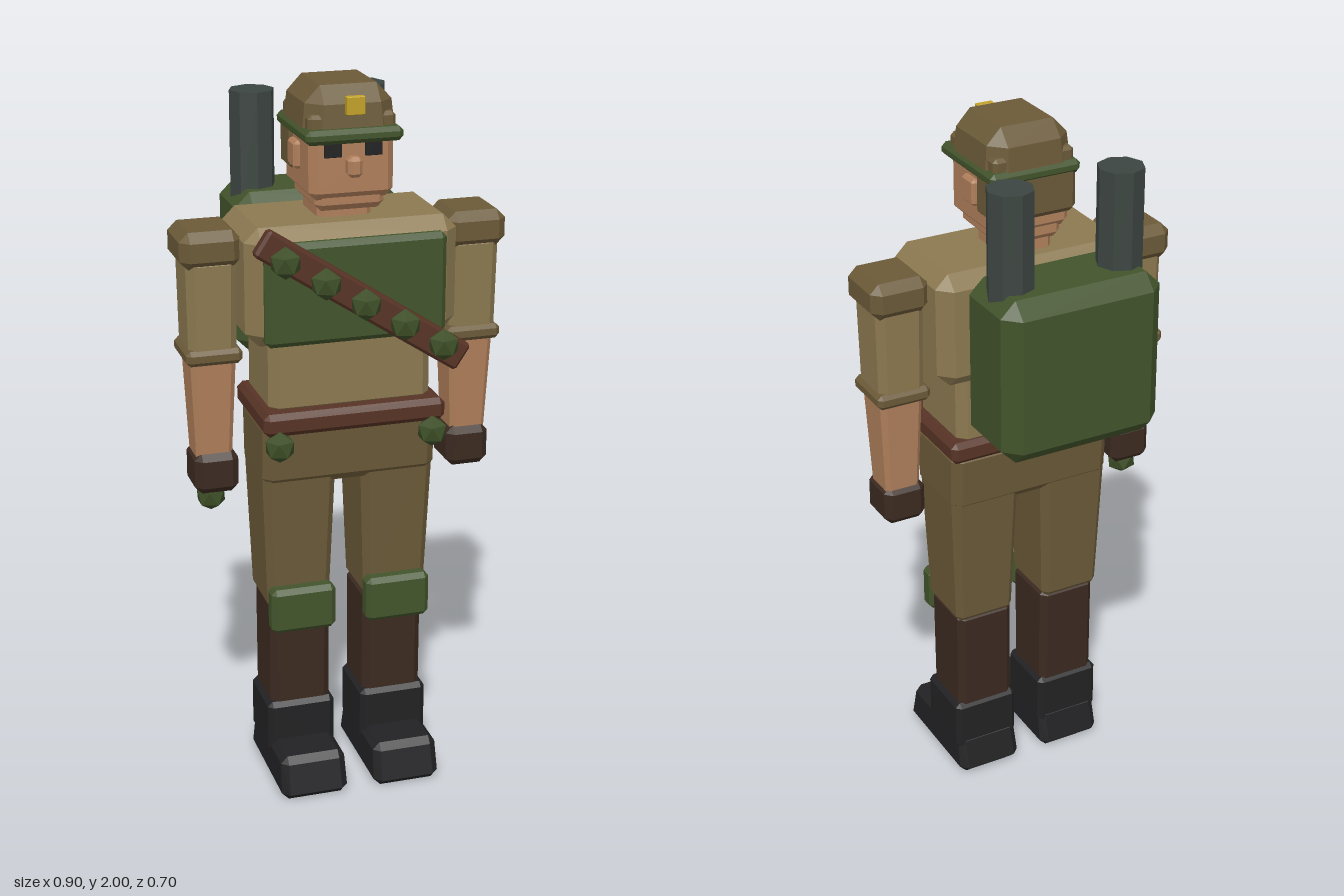
import * as THREE from 'three';
import { ConvexGeometry } from 'three/addons/geometries/ConvexGeometry.js';

const material = (name, color) => {
  const m = new THREE.MeshStandardMaterial({ color, flatShading: true });
  m.name = name;
  return m;
};

const M = {
  khaki: material('khaki cloth', 0x8c7950),
  brown: material('brown cloth', 0x6b5a38),
  green: material('army green', 0x42542b),
  skin: material('skin', 0xb07f5b),
  leather: material('dark brown leather', 0x3b2a20),
  black: material('black rubber', 0x222224),
  strap: material('red brown strap', 0x573325),
  metal: material('grey tube metal', 0x3c4541),
  gold: material('gold', 0xc2a127),
  grenade: material('grenade green', 0x3d4e27),
};

// Box with chamfered edges; top and bottom give [x, z] scale factors for a taper.
function chamferBox([x0, x1], [y0, y1], [z0, z1], b, top = [1, 1], bottom = [1, 1]) {
  const c = new THREE.Vector3((x0 + x1) / 2, (y0 + y1) / 2, (z0 + z1) / 2);
  const h = [(x1 - x0) / 2, (y1 - y0) / 2, (z1 - z0) / 2];
  const points = [];
  for (const sx of [-1, 1]) for (const sy of [-1, 1]) for (const sz of [-1, 1]) {
    const s = sy > 0 ? top : bottom;
    for (let axis = 0; axis < 3; axis++) {
      const d = h.map((v, i) => (i === axis ? v : v - b));
      points.push(new THREE.Vector3(
        c.x + sx * d[0] * s[0], c.y + sy * d[1], c.z + sz * d[2] * s[1]));
    }
  }
  return new ConvexGeometry(points);
}

export function createModel() {
  const model = new THREE.Group();
  model.name = 'soldier';

  const add = (name, mat, geometry, parent = model) => {
    const mesh = new THREE.Mesh(geometry, mat);
    mesh.name = name;
    parent.add(mesh);
    return mesh;
  };
  const part = (name, mat, ...box) => add(name, mat, chamferBox(...box));
  // Same part on both sides, given for the left (+x) side.
  const pair = (name, mat, [x0, x1], ...box) => {
    part(name + 'Left', mat, [x0, x1], ...box);
    part(name + 'Right', mat, [-x1, -x0], ...box);
  };
  // Grenade: an icosahedron standing on a vertex.
  const grenade = (name, x, y, z) => {
    const g = new THREE.IcosahedronGeometry(0.044, 0);
    g.rotateZ(Math.atan(2 / (1 + Math.sqrt(5))));
    add(name, M.grenade, g).position.set(x, y, z);
  };

  // Legs
  pair('foot', M.black, [0.04, 0.232], [0, 0.125], [-0.055, 0.305], 0.02, [0.97, 0.88]);
  pair('ankle', M.black, [0.04, 0.235], [0.08, 0.24], [-0.032, 0.165], 0.014);
  pair('boot', M.leather, [0.05, 0.222], [0.22, 0.55], [-0.027, 0.152], 0.018, [1, 1.04]);
  pair('thigh', M.brown, [0.035, 0.245], [0.53, 1.0], [-0.055, 0.175], 0.02,
    [1, 1], [0.85, 0.85]);
  pair('kneePad', M.green, [0.045, 0.23], [0.475, 0.607], [0.14, 0.2], 0.014);

  // Trunk
  part('pelvis', M.brown, [-0.245, 0.245], [0.91, 1.1], [-0.067, 0.193], 0.025,
    [1, 1], [1, 0.92]);
  part('belt', M.strap, [-0.255, 0.255], [1.078, 1.142], [-0.078, 0.235], 0.015);
  part('abdomen', M.khaki, [-0.227, 0.227], [1.12, 1.36], [-0.062, 0.19], 0.025);
  part('chest', M.khaki, [-0.292, 0.292], [1.322, 1.645], [-0.1, 0.218], 0.038);
  part('chestPlate', M.green, [-0.25, 0.25], [1.33, 1.61], [0.18, 0.24], 0.015);

  // Bandolier across the chest
  const bandolier = add('bandolier', M.strap,
    chamferBox([-0.33, 0.33], [-0.04, 0.04], [-0.02, 0.02], 0.008));
  bandolier.position.set(0.003, 1.455, 0.277);
  bandolier.rotation.z = -0.58;
  for (let i = -2; i <= 2; i++) {
    grenade('bandolierGrenade' + (i + 3), i * 0.108, 1.455 - i * 0.065, 0.312);
  }
  for (const s of [-1, 1]) grenade('beltGrenade', s * 0.215, 1.053, 0.236);
  grenade('handGrenade', -0.368, 0.868, 0.07);

  // Arms
  pair('shoulder', M.brown, [0.285, 0.452], [1.53, 1.632], [-0.033, 0.152], 0.025);
  pair('upperArm', M.khaki, [0.297, 0.435], [1.28, 1.56], [-0.015, 0.14], 0.02,
    [1, 1], [0.95, 0.95]);
  pair('cuff', M.brown, [0.288, 0.442], [1.267, 1.31], [-0.02, 0.147], 0.012);
  pair('forearm', M.skin, [0.302, 0.427], [0.98, 1.29], [-0.002, 0.13], 0.015,
    [1, 1], [0.8, 0.8]);
  pair('glove', M.leather, [0.3, 0.422], [0.893, 1.01], [0, 0.135], 0.02);

  // Head
  part('neck', M.skin, [-0.075, 0.075], [1.6, 1.71], [-0.03, 0.125], 0.015);
  part('jaw', M.skin, [-0.095, 0.095], [1.672, 1.75], [-0.045, 0.178], 0.018);
  part('head', M.skin, [-0.115, 0.115], [1.705, 1.9], [-0.055, 0.193], 0.02);
  part('nose', M.skin, [-0.02, 0.02], [1.768, 1.822], [0.17, 0.222], 0.01);
  pair('ear', M.skin, [0.1, 0.132], [1.772, 1.845], [0.03, 0.098], 0.008);
  part('hair', M.brown, [-0.124, 0.124], [1.75, 1.88], [-0.075, 0.036], 0.016);
  pair('eye', M.black, [0.032, 0.078], [1.82, 1.862], [0.19, 0.198], 0.001);

  // Cap
  part('capBrim', M.green, [-0.132, 0.132], [1.857, 1.895], [-0.08, 0.218], 0.012);
  part('capCrown', M.brown, [-0.125, 0.125], [1.84, 2.0], [-0.072, 0.197], 0.044,
    [0.94, 0.94]);
  part('capBand', M.brown, [-0.118, 0.118], [1.87, 1.93], [-0.066, 0.19], 0.01);
  part('capBadge', M.gold, [-0.025, 0.025], [1.932, 1.98], [0.2, 0.22], 0.002);

  // Backpack with two launch tubes
  part('backpack', M.green, [-0.234, 0.234], [1.193, 1.657], [-0.355, -0.1], 0.043);
  for (const s of [-1, 1]) {
    const tube = add(s > 0 ? 'tubeLeft' : 'tubeRight', M.metal,
      new THREE.CylinderGeometry(0.063, 0.063, 0.34, 8));
    tube.position.set(s * 0.16, 1.753, -0.228);
  }
  return model;
}
